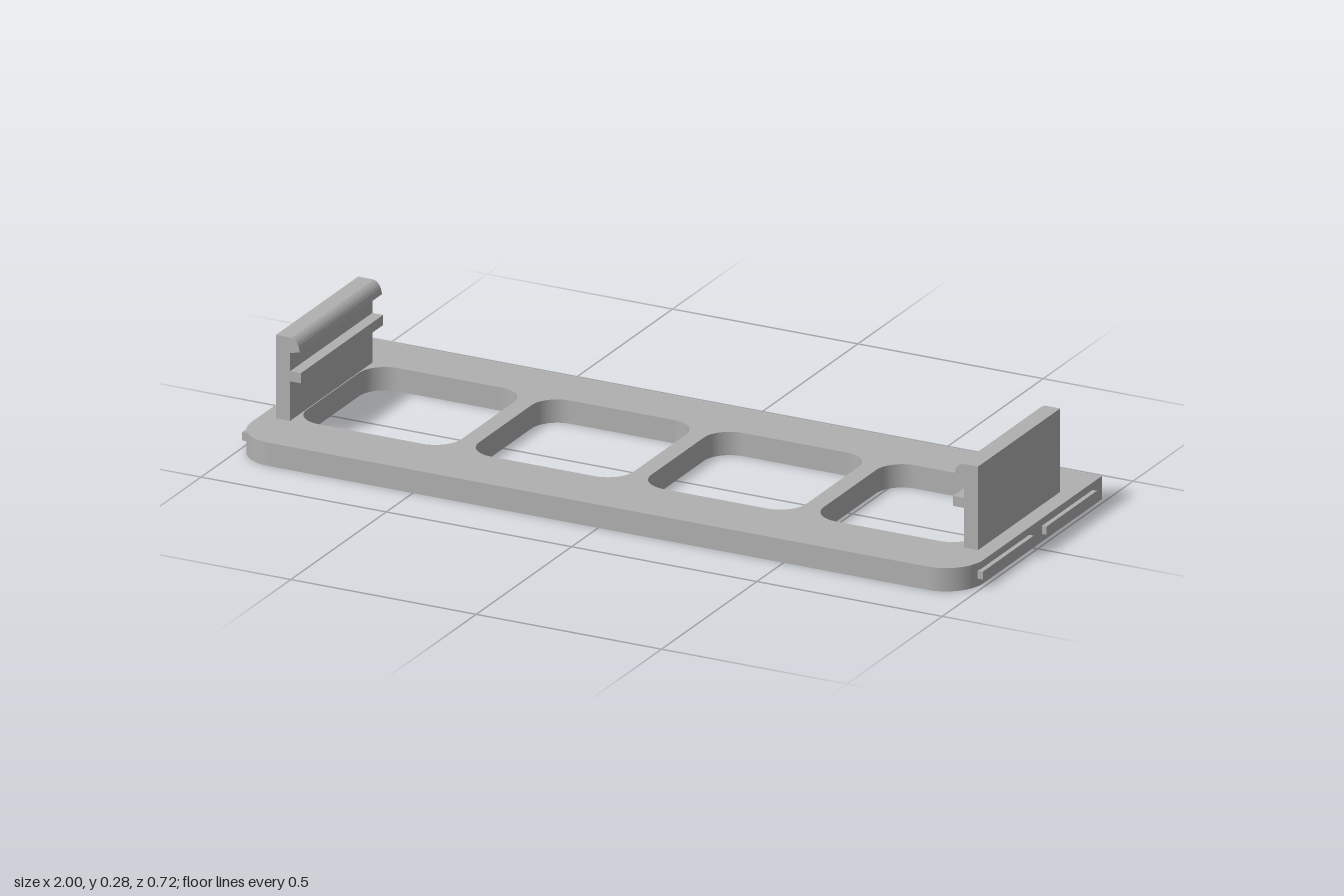
import * as THREE from 'three';

// Rectangle outline with separate radii for the low-v and high-v corners
function roundedRect(path, x0, v0, x1, v1, rLow, rHigh) {
  path.moveTo(x0 + rLow, v0);
  path.lineTo(x1 - rLow, v0);
  if (rLow) path.absarc(x1 - rLow, v0 + rLow, rLow, -Math.PI / 2, 0, false);
  path.lineTo(x1, v1 - rHigh);
  if (rHigh) path.absarc(x1 - rHigh, v1 - rHigh, rHigh, 0, Math.PI / 2, false);
  path.lineTo(x0 + rHigh, v1);
  if (rHigh) path.absarc(x0 + rHigh, v1 - rHigh, rHigh, Math.PI / 2, Math.PI, false);
  path.lineTo(x0, v0 + rLow);
  if (rLow) path.absarc(x0 + rLow, v0 + rLow, rLow, Math.PI, Math.PI * 1.5, false);
  return path;
}

export function createModel() {
  const model = new THREE.Group();
  model.name = 'clipFrame';
  const grey = new THREE.MeshStandardMaterial({ color: 0xb0b0b0 });
  grey.name = 'grey plastic';

  const add = (name, geometry) => {
    const mesh = new THREE.Mesh(geometry, grey);
    mesh.name = name;
    model.add(mesh);
    return mesh;
  };

  // Base plate: rounded at the front, square at the back, four windows.
  // Shape y is -z, so the low corners are the front ones.
  const plate = roundedRect(new THREE.Shape(), -0.988, -0.361, 0.988, 0.361, 0.1, 0);
  for (let i = 0; i < 4; i++) {
    const cx = (i - 1.5) * 0.465;
    plate.holes.push(
      roundedRect(new THREE.Path(), cx - 0.209, -0.198, cx + 0.209, 0.217, 0.07, 0.07));
  }
  const plateGeometry = new THREE.ExtrudeGeometry(plate, {
    depth: 0.06, bevelEnabled: false, curveSegments: 12,
  });
  plateGeometry.rotateX(-Math.PI / 2);
  add('basePlate', plateGeometry);

  // Clip section: upright wall, small ledge and rounded hook facing inwards
  const clipSection = (s) => {
    const shape = new THREE.Shape();
    shape.moveTo(s * 0.947, 0.05);
    shape.lineTo(s * 0.947, 0.275);
    shape.lineTo(s * 0.905, 0.275);
    shape.quadraticCurveTo(s * 0.885, 0.268, s * 0.883, 0.241);
    shape.lineTo(s * 0.909, 0.235);
    shape.lineTo(s * 0.909, 0.188);
    shape.lineTo(s * 0.88, 0.188);
    shape.lineTo(s * 0.88, 0.162);
    shape.lineTo(s * 0.909, 0.162);
    shape.lineTo(s * 0.909, 0.05);
    shape.closePath();
    return shape;
  };

  for (const [side, s] of [['left', 1], ['right', -1]]) {
    const clip = add(side + 'Clip', new THREE.ExtrudeGeometry(clipSection(s), {
      depth: 0.431, bevelEnabled: false, curveSegments: 6,
    }));
    clip.position.z = -0.221;

    // Two thin ribs along each end face
    for (const [place, z] of [['Front', 0.153], ['Back', -0.1785]]) {
      const rib = add(side + place + 'Rib', new THREE.BoxGeometry(0.04, 0.021, 0.265));
      rib.position.set(s * 0.98, 0.0305, z);
    }
  }
  return model;
}
